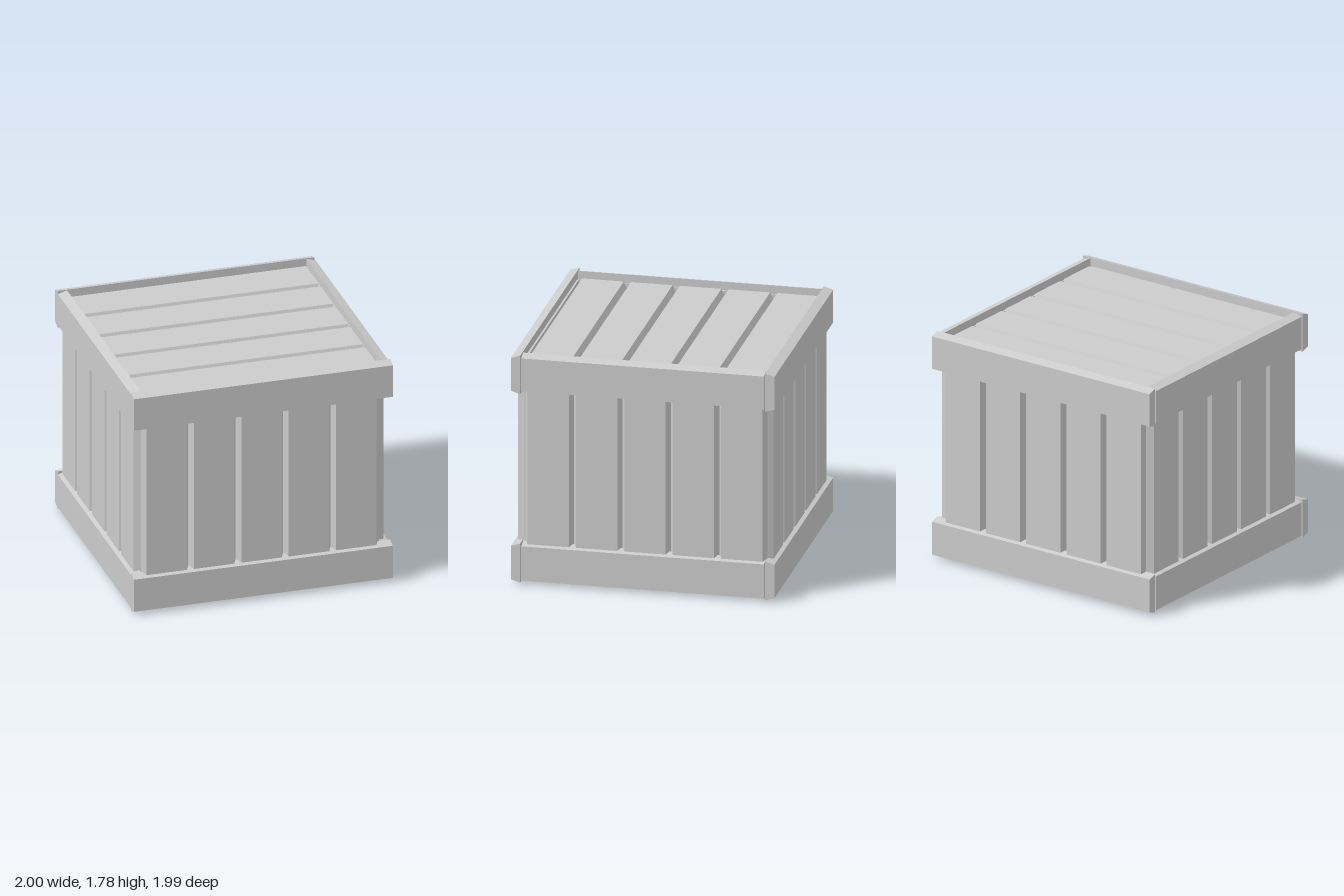
import * as THREE from 'three';

const material = new THREE.MeshStandardMaterial({ color: 0xcccccc, flatShading: true });

// Board along local y, lying on z = 0, with its two long edges chamfered towards +z
function board(name, width, length, depth, bevel) {
  const w = width / 2;
  const shape = new THREE.Shape([
    new THREE.Vector2(-w, 0),
    new THREE.Vector2(w, 0),
    new THREE.Vector2(w - bevel, -depth),
    new THREE.Vector2(-w + bevel, -depth),
  ].reverse());
  const geometry = new THREE.ExtrudeGeometry(shape, { depth: length, bevelEnabled: false });
  geometry.translate(0, 0, -length / 2).rotateX(-Math.PI / 2);
  const mesh = new THREE.Mesh(geometry, material);
  mesh.name = name;
  return mesh;
}

// Row of five planks side by side along local x
function plankPanel(name, pitch, length, depth, offset) {
  const panel = new THREE.Group();
  panel.name = name;
  for (let i = -2; i <= 2; i++) {
    const plank = board('plank', pitch, length, depth, 0.027);
    plank.position.x = i * pitch + offset;
    panel.add(plank);
  }
  return panel;
}

// Horizontal rim board between two heights
function rimBoard(name, y0, y1, length, offset) {
  const rim = board(name, y1 - y0, length, 0.07, 0.022);
  rim.rotation.z = Math.PI / 2;
  rim.position.set(offset, (y0 + y1) / 2, 0.925);
  return rim;
}

export function createModel() {
  const crate = new THREE.Group();
  crate.name = 'crate';

  // Inner body behind the planks
  const core = new THREE.Mesh(new THREE.BoxGeometry(1.82, 1.63, 1.82), material);
  core.name = 'innerBody';
  core.position.y = 0.865;
  crate.add(core);

  // Four walls, each with a lower and an upper rim
  const walls = [
    { name: 'front', shift: -0.005, length: 2, offset: 0, bottom: 0.01 },
    { name: 'left', shift: 0.012, length: 1.835, offset: 0, bottom: 0.003 },
    { name: 'back', shift: 0.005, length: 1.98, offset: 0.003, bottom: 0.01 },
    { name: 'right', shift: -0.012, length: 1.835, offset: 0, bottom: 0.003 },
  ];
  walls.forEach((w, i) => {
    const wall = new THREE.Group();
    wall.name = w.name + 'Wall';
    const planks = plankPanel(w.name + 'Planks', 0.366, 1.68, 0.055, w.shift);
    planks.position.set(0, 0.88, 0.91);
    wall.add(
      planks,
      rimBoard(w.name + 'LowerRim', w.bottom, 0.315, w.length, w.offset),
      rimBoard(w.name + 'UpperRim', 1.485, 1.785, w.length, w.offset),
    );
    wall.rotation.y = i * Math.PI / 2;
    crate.add(wall);
  });

  // Lid planks run across, left to right
  const lid = plankPanel('lid', 0.369, 1.83, 0.055, -0.01);
  lid.quaternion.setFromRotationMatrix(new THREE.Matrix4().makeBasis(
    new THREE.Vector3(0, 0, 1), new THREE.Vector3(1, 0, 0), new THREE.Vector3(0, 1, 0)));
  lid.position.set(0, 1.678, 0);
  crate.add(lid);

  // Floor planks run front to back
  const floor = plankPanel('floor', 0.367, 1.83, 0.053, -0.005);
  floor.rotation.x = Math.PI / 2;
  floor.position.y = 0.053;
  crate.add(floor);

  return crate;
}
